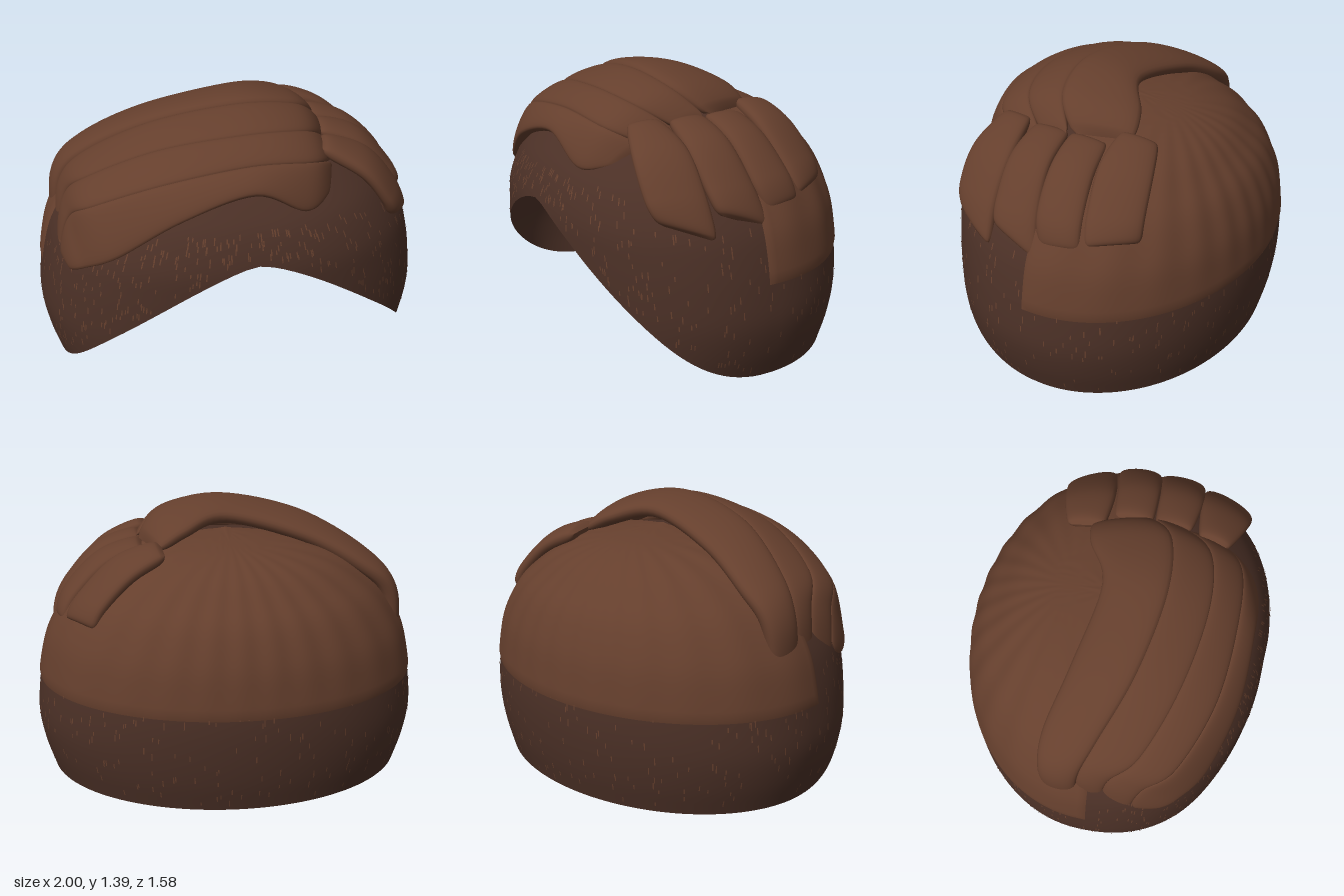
import * as THREE from 'three';
import { mergeGeometries } from 'three/addons/utils/BufferGeometryUtils.js';

const V = (p) => new THREE.Vector3(...p);
const curve = (pts) => new THREE.CatmullRomCurve3(pts.map(V), false, 'catmullrom', 0.5);

// Head profile per level: height, half width, front depth, back depth
const levels = [
  [0.005, 0.93, 0.76, 0.73], [0.15, 0.975, 0.77, 0.765], [0.3, 1.0, 0.78, 0.785],
  [0.45, 0.99, 0.79, 0.79], [0.6, 0.965, 0.795, 0.775], [0.75, 0.92, 0.79, 0.745],
  [0.9, 0.83, 0.74, 0.68], [1.0, 0.74, 0.66, 0.6], [1.1, 0.6, 0.53, 0.49],
  [1.17, 0.42, 0.38, 0.34], [1.205, 0.21, 0.19, 0.17], [1.22, 0, 0, 0],
];
const N = levels.length - 1;
const radii = curve(levels.map((l) => l.slice(1)));
const heights = curve(levels.map((l) => [l[0], 0, 0]));
const levelAt = (y) => y / 0.15 / N; // valid on the evenly spaced lower levels

// Point on the head; phi = 0 is the front, PI/2 is +x
function headPoint(phi, t) {
  const r = radii.getPoint(t), s = Math.sin(phi), c = Math.cos(phi);
  const e = c > 0 ? 2 / 2.3 : 1;
  return new THREE.Vector3(
    r.x * Math.sign(s) * Math.abs(s) ** e,
    heights.getPoint(t).x,
    (c > 0 ? r.y : r.z) * Math.sign(c) * Math.abs(c) ** e,
  );
}

// Lower rim: arched over the forehead, flat behind the ears
function rimHeight(phi) {
  if (Math.cos(phi) <= 0) return 0;
  const s = Math.abs(Math.sin(phi)) ** (2 / 2.3);
  return 0.77 * (1 - s ** 1.6);
}

// Surface from a grid of points; rows run along i, columns along j
function gridGeometry(rows, cols, closed, point) {
  const pos = [], idx = [], w = closed ? cols : cols + 1;
  for (let i = 0; i <= rows; i++)
    for (let j = 0; j < w; j++) pos.push(...point(i / rows, j / cols, i, j).toArray());
  for (let i = 0; i < rows; i++)
    for (let j = 0; j < cols; j++) {
      const k = (j + 1) % w;
      const a = i * w + j, b = i * w + k, c = a + w, d = b + w;
      idx.push(a, b, c, b, d, c);
    }
  const g = new THREE.BufferGeometry();
  g.setAttribute('position', new THREE.Float32BufferAttribute(pos, 3));
  g.setIndex(idx);
  g.computeVertexNormals();
  return g;
}

// Pillow-shaped lock between a back rail and a front rail
function lockGeometry(back, front, bulge, depth) {
  const A = curve(back), B = curve(front);
  return gridGeometry(48, 28, true, (v, u) => {
    const a = A.getPoint(v), b = B.getPoint(v);
    const across = b.clone().sub(a);
    const along = A.getTangent(v).add(B.getTangent(v));
    const n = across.clone().cross(along).normalize();
    const taper = Math.sqrt(Math.max(0, 1 - Math.abs(2 * v - 1) ** 10));
    const ang = u * Math.PI * 2, s = Math.sin(ang);
    const f = 0.5 - 0.5 * Math.cos(ang) * (0.78 + 0.26 * taper);
    const h = (s > 0 ? bulge : -depth) * Math.abs(s) ** 0.8 * taper;
    return a.addScaledVector(across, f).addScaledVector(n, h);
  });
}

// Edges between the combed-over strands, from the crown to the fringe
const strandEdges = [
  [[-0.87, 0.62, -0.17], [-0.84, 0.92, -0.2], [-0.69, 1.07, -0.2], [-0.4, 1.22, -0.13],
    [0, 1.32, -0.07], [0.22, 1.27, -0.18], [0.36, 1.19, -0.23]],
  [[-0.88, 0.66, 0], [-0.85, 0.93, 0], [-0.72, 1.1, 0.06], [-0.4, 1.28, 0.18],
    [0, 1.36, 0.24], [0.3, 1.32, 0.2], [0.46, 1.2, 0.08]],
  [[-0.89, 0.66, 0.12], [-0.84, 0.92, 0.15], [-0.73, 1.07, 0.28], [-0.4, 1.23, 0.4],
    [0, 1.29, 0.45], [0.3, 1.26, 0.4], [0.46, 1.15, 0.24]],
  [[-0.9, 0.66, 0.27], [-0.84, 0.88, 0.32], [-0.73, 1.0, 0.46], [-0.4, 1.14, 0.58],
    [0, 1.2, 0.6], [0.3, 1.17, 0.56], [0.45, 1.1, 0.42]],
  [[-0.86, 0.64, 0.42], [-0.8, 0.7, 0.5], [-0.65, 0.8, 0.61], [-0.35, 1.0, 0.69],
    [0, 1.1, 0.69], [0.25, 0.98, 0.67], [0.4, 1.0, 0.57]],
];

// Short locks falling over the left side: back rail, front rail
const sideLocks = [
  [[[0.33, 1.19, -0.34], [0.5, 1.1, -0.39], [0.64, 0.96, -0.42], [0.69, 0.86, -0.43]],
    [[0.35, 1.22, -0.15], [0.57, 1.14, -0.15], [0.75, 0.97, -0.18], [0.83, 0.85, -0.21]]],
  [[[0.43, 1.18, -0.12], [0.62, 1.1, -0.14], [0.78, 0.95, -0.17], [0.84, 0.83, -0.19]],
    [[0.43, 1.19, 0.08], [0.65, 1.11, 0.07], [0.81, 0.95, 0.05], [0.87, 0.81, 0.01]]],
  [[[0.43, 1.19, 0.09], [0.65, 1.11, 0.08], [0.81, 0.93, 0.05], [0.9, 0.74, 0.01]],
    [[0.43, 1.19, 0.28], [0.64, 1.1, 0.3], [0.79, 0.95, 0.29], [0.86, 0.85, 0.27]]],
  [[[0.41, 1.2, 0.32], [0.64, 1.1, 0.3], [0.79, 0.93, 0.3], [0.89, 0.73, 0.29]],
    [[0.38, 1.19, 0.48], [0.58, 1.07, 0.55], [0.7, 0.92, 0.56], [0.75, 0.82, 0.53]]],
];

export function createModel() {
  const model = new THREE.Group();
  const dark = new THREE.MeshStandardMaterial({ color: 0x4b3026, side: THREE.DoubleSide });
  const brown = new THREE.MeshStandardMaterial({ color: 0x653f2d, side: THREE.DoubleSide });
  const add = (name, geometry, material) => {
    const mesh = new THREE.Mesh(geometry, material);
    mesh.name = name;
    model.add(mesh);
  };

  // Close-cropped base shell, open below and at the face
  add('baseShell', gridGeometry(48, 128, true, (v, u) => {
    const phi = u * Math.PI * 2;
    const t0 = levelAt(rimHeight(phi));
    return headPoint(phi, t0 + (1 - t0) * v);
  }), dark);

  // Softly ribbed cap over the back, its border meeting the shell
  const rows = 40, cols = 160;
  add('backCap', gridGeometry(rows, cols, false, (v, u, i, j) => {
    const phi = Math.PI / 2 - 0.05 + u * (Math.PI + 0.1);
    const t0 = levelAt(0.5);
    const p = headPoint(phi, t0 + (1 - t0) * v);
    const dx = p.x, dz = p.z + 0.22;
    const fade = Math.min(1, Math.hypot(dx, dz) / 0.5) * Math.min(1, v * 4);
    const border = i === 0 || j === 0 || j === cols;
    const rib = 0.0035 * fade * Math.cos(22 * Math.atan2(dx, dz));
    const lift = border ? 0.001 : 0.008 + 0.01 * Math.min(1, v * 3) + rib + 0.015 * v ** 4;
    const n = new THREE.Vector3(p.x, p.y - 0.45, p.z).normalize();
    return p.addScaledVector(n, lift);
  }), brown);

  // Fine stubble lying on the cropped sides
  let seed = 7;
  const random = () => (seed = (seed * 16807) % 2147483647) / 2147483647;
  const stubble = [];
  const turn = new THREE.Object3D();
  for (let k = 0; k < 700; k++) {
    const phi = random() * Math.PI * 2;
    const low = rimHeight(phi) + 0.04;
    const t = levelAt(low + random() * (0.92 - low));
    const p = headPoint(phi, t);
    const up = headPoint(phi, t + 0.01).sub(p);
    const out = headPoint(phi + 0.01, t).sub(p).cross(up).normalize();
    turn.up.copy(up.normalize());
    turn.position.copy(p).addScaledVector(out, 0.003);
    turn.lookAt(turn.position.clone().add(out));
    turn.updateMatrix();
    const hair = new THREE.PlaneGeometry(0.006, 0.02 + 0.02 * random());
    stubble.push(hair.applyMatrix4(turn.matrix));
  }
  add('stubble', mergeGeometries(stubble), brown);

  // Swept top strands
  for (let k = 0; k < 4; k++)
    add('topStrand' + (k + 1),
      lockGeometry(strandEdges[k], strandEdges[k + 1], k ? 0.027 : 0.052, 0.06), brown);

  // Side locks
  sideLocks.forEach(([back, front], k) =>
    add('sideLock' + (k + 1), lockGeometry(back, front, 0.045, 0.05), brown));

  return model;
}
